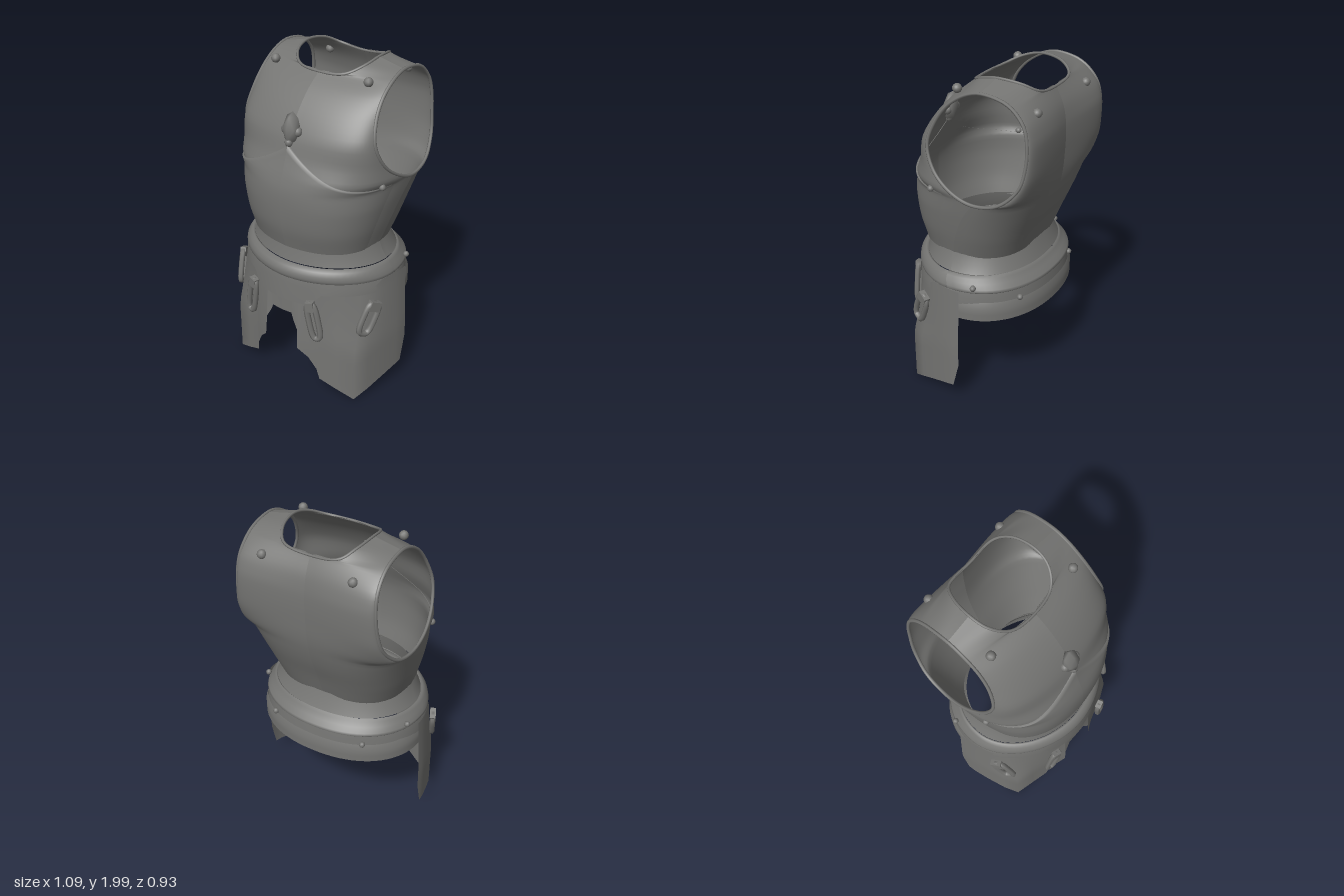
import * as THREE from 'three';

const steel = new THREE.MeshStandardMaterial({ color: 0x757573, side: THREE.DoubleSide });
steel.name = 'dark steel';
const V = (x, y, z) => new THREE.Vector3(x, y, z);
const lerp = THREE.MathUtils.lerp;

// Rows from waist to shoulder: inner point xyz, outer point xyz, roundness
const FRONT = [
  [0, .97, .375, .41, .97, .04, .88], [0, 1.1, .405, .445, 1.1, 0, .95],
  [0, 1.24, .415, .478, 1.25, -.07, 1], [0, 1.34, .41, .5, 1.365, -.15, 1],
  [0, 1.42, .39, .5, 1.41, -.01, 1], [0, 1.52, .355, .475, 1.5, .11, .85],
  [0, 1.63, .32, .445, 1.63, .165, .8], [0, 1.75, .25, .42, 1.76, .125, .6],
  [0, 1.85, .16, .41, 1.85, .06, .45], [0, 1.92, .065, .408, 1.9, 0, .3],
  [.15, 1.93, .04, .408, 1.93, -.05, .1], [.225, 1.97, -.04, .408, 1.95, -.1, 0],
  [.245, 1.995, -.15, .408, 1.96, -.15, 0]];
const BACK = [
  [0, .97, -.28, .41, .97, .04, .95], [0, 1.1, -.325, .445, 1.1, 0, 1],
  [0, 1.24, -.38, .478, 1.25, -.07, 1], [0, 1.36, -.415, .5, 1.365, -.15, 1],
  [0, 1.45, -.43, .485, 1.395, -.3, 1], [0, 1.55, -.437, .452, 1.5, -.405, 1],
  [0, 1.65, -.44, .432, 1.62, -.435, 1], [0, 1.74, -.435, .422, 1.74, -.437, 1],
  [0, 1.83, -.415, .415, 1.83, -.415, 1], [0, 1.92, -.37, .41, 1.895, -.365, .5],
  [.165, 1.94, -.36, .408, 1.935, -.305, .1], [.222, 1.98, -.285, .408, 1.955, -.23, 0],
  [.245, 1.995, -.15, .408, 1.96, -.15, 0]];
const LAST = 12, ARM = 3, NECK = 9;
const FRONT_POWER = 1.9, BACK_POWER = 2.2;
const inner = (r) => V(r[0], r[1], r[2]);
const outer = (r) => V(r[3], r[4], r[5]);

function mesh(name, geometry) {
  const m = new THREE.Mesh(geometry, steel);
  m.name = name;
  return m;
}

// Grid surface from a rule fn(u, v), with u and v in 0..1
function sheet(nu, nv, fn) {
  const pos = [], idx = [];
  for (let j = 0; j <= nv; j++)
    for (let i = 0; i <= nu; i++) pos.push(...fn(i / nu, j / nv).toArray());
  for (let j = 0; j < nv; j++)
    for (let i = 0; i < nu; i++) {
      const a = j * (nu + 1) + i, b = a + nu + 1;
      idx.push(a, a + 1, b + 1, a, b + 1, b);
    }
  const g = new THREE.BufferGeometry();
  g.setAttribute('position', new THREE.Float32BufferAttribute(pos, 3));
  g.setIndex(idx);
  g.computeVertexNormals();
  return g;
}

// Half a torso plate; v counts rows, groove sets the depth of the centre crease
function plate(rows, groove) {
  const I = new THREE.CatmullRomCurve3(rows.map(inner));
  const low = new THREE.CatmullRomCurve3(rows.slice(0, ARM + 1).map(outer));
  const high = new THREE.CatmullRomCurve3(rows.slice(ARM).map(outer));
  return (u, v) => {
    const a = I.getPoint(v / LAST);
    a.x = v <= NECK ? 0 : Math.max(0, a.x);
    const c = v <= ARM ? low.getPoint(v / ARM) : high.getPoint((v - ARM) / (LAST - ARM));
    const i = Math.min(Math.floor(v), LAST - 1);
    const k = lerp(rows[i][6], rows[i + 1][6], v - i);
    const m = a.clone().lerp(c, .5).lerp(V(c.x, (a.y + c.y) / 2, a.z), k);
    m.z -= groove * THREE.MathUtils.clamp((10 - v) / 3, 0, 1);
    return a.multiplyScalar((1 - u) ** 2).addScaledVector(m, 2 * u * (1 - u)).addScaledVector(c, u * u);
  };
}

// Closed hoop: rows of [y, half width, z front, z back]; hem(x, z) sets the last height
function hoop(rows, hem) {
  return sheet(72, rows.length - 1, (u, v) => {
    const [y, rx, zf, zb] = rows[Math.round(v * (rows.length - 1))];
    const a = u * Math.PI * 2, c = Math.cos(a), s = Math.sin(a), mid = (zf + zb) / 2;
    const p = 2 / (s > 0 ? FRONT_POWER : BACK_POWER);
    const x = rx * Math.sign(c) * Math.abs(c) ** p;
    const z = mid + (zf - mid) * Math.sign(s) * Math.abs(s) ** p;
    return V(x, hem && v === 1 ? hem(x, z) : y, z);
  });
}

function rim(name, pts, r) {
  return mesh(name, new THREE.TubeGeometry(new THREE.CatmullRomCurve3(pts, true), 72, r, 6, true));
}

// Hip plate columns from the centre outwards: x, z, bottom height
const HIP = [[0, .435, .55], [.07, .44, .555], [.088, .445, .51], [.115, .45, .46], [.12, .45, .33],
  [.18, .42, .27], [.225, .4, .19], [.24, .39, .115], [.34, .355, .06], [.445, .32, .01],
  [.485, .235, .055], [.518, .12, .1], [.54, .02, .13], [.545, -.03, .14], [.545, -.07, .3]];

// Hanging buckle loop with a strap end
function buckle(name, width, height) {
  const g = new THREE.Group(), pts = [];
  g.name = name;
  const round = (t) => Math.sign(t) * Math.abs(t) ** .6;
  for (let i = 0; i < 16; i++) {
    const a = i / 16 * Math.PI * 2;
    pts.push(V(width * round(Math.cos(a)), height * round(Math.sin(a)), 0));
  }
  g.add(rim('buckleLoop', pts, .018));
  const strap = mesh('strapEnd', new THREE.BoxGeometry(width * 1.7, .06, .036));
  strap.position.y = height - .015;
  g.add(strap);
  return g;
}

export function createModel() {
  const model = new THREE.Group();
  model.name = 'bodyArmour';
  const front = plate(FRONT, 0), back = plate(BACK, .055);

  for (const s of [1, -1]) {
    const flip = (p) => { p.x *= s; return p; };
    const side = s > 0 ? 'left' : 'right';

    // Breast and back plates
    model.add(mesh(side + 'BreastPlate', sheet(14, 48, (u, v) => flip(front(u, v * LAST)))));
    model.add(mesh(side + 'BackPlate', sheet(14, 48, (u, v) => flip(back(u, v * LAST)))));

    // Raised lower breast plate rising to a point at the centre, fading to the sides
    model.add(mesh(side + 'LowerBreastPlate', sheet(20, 20, (u, v) => {
      const w = u * .85, t = Math.min(v / .95, 1);
      const p = front(w, t * (3.25 + 2.3 * (1 - w) ** 2.4));
      const lift = v === 1 ? -.003 : .014 * (1 - u ** 4) - .002;
      return flip(p.addScaledVector(V(p.x * .7, 0, p.z).normalize(), lift));
    })));

    // Rolled armhole edge
    const arm = [...FRONT.slice(ARM).map(outer), ...BACK.slice(ARM + 1, LAST).reverse().map(outer)];
    model.add(rim(side + 'ArmholeRim', arm.map(flip), .01));

    // Hip plate: rounded like the skirt at the top, creased at the corner below
    model.add(mesh(side + 'HipPlate', sheet(HIP.length - 1, 12, (u, v) => {
      const [x, z, y] = HIP[Math.round(u * (HIP.length - 1))];
      const top = z < .15 ? .8 : .75, h = lerp(top, y, v), t = Math.min(1, (top - h) / .4);
      const px = x * lerp(.963, 1, t);
      const round = .015 + .415 * Math.max(0, 1 - (px / .515) ** FRONT_POWER) ** (1 / FRONT_POWER);
      return flip(V(px, h, z < .15 ? z : lerp(round, z, t)));
    })));

    // Buckles
    const b1 = buckle(side + 'FrontBuckle', .029, .118);
    b1.position.set(s * .23, .56, .43);
    b1.rotation.set(0, s * .25, s * .19);
    const b2 = buckle(side + 'SideBuckle', .042, .1);
    b2.position.set(s * .48, .575, .232);
    b2.rotation.set(0, s * 1.15, -s * .42);
    model.add(b1, b2);

    // Rivets on shoulders, sides and skirt
    for (const [x, y, z, r] of [[.315, 1.925, .05, .027], [.275, 1.865, -.41, .027], [.475, 1.385, .13, .02],
      [.485, .83, -.14, .018], [.3, .74, -.34, .018]]) {
      const rivet = mesh(side + 'Rivet', new THREE.IcosahedronGeometry(r, 1));
      rivet.position.set(s * x, y, z);
      model.add(rivet);
    }
  }

  // Rolled neck edge
  const half = [...FRONT.slice(NECK).map(inner), ...BACK.slice(NECK, LAST).reverse().map(inner)];
  const other = half.slice(1, -1).reverse().map((p) => V(-p.x, p.y, p.z));
  model.add(rim('neckRim', [...half, ...other], .008));

  // Waist flange, folded lip and skirt bands
  model.add(mesh('waistFlange', hoop([[.985, .412, .372, -.292], [.93, .428, .38, -.312],
    [.88, .455, .39, -.335]])));
  model.add(mesh('waistLip', hoop([[.875, .455, .39, -.335], [.883, .466, .402, -.338], [.865, .48, .425, -.35],
    [.84, .495, .44, -.37], [.815, .508, .44, -.397], [.8, .51, .436, -.403], [.79, .503, .428, -.392]])));
  model.add(mesh('skirtBand', hoop([[.805, .503, .43, -.387], [.76, .512, .436, -.393], [.7, .515, .44, -.4]],
    (x, z) => {
      const ax = Math.abs(x);
      if (z < 0) return .69;
      return ax < .17 ? .64 : ax < .24 ? lerp(.64, .7, (ax - .17) / .07) : .72;
    })));
  model.add(mesh('rearSkirtBand', sheet(40, 3, (u, v) => {
    const a = Math.PI * (1 + u), c = Math.cos(a), p = 2 / BACK_POWER, k = v === 0 ? .97 : 1;
    return V(.517 * k * Math.sign(c) * Math.abs(c) ** p, lerp(.735, .62, v),
      -.01 - .403 * k * Math.abs(Math.sin(a)) ** p);
  })));

  // Chest ornament: leaf, two lobes and a stud
  const ornament = new THREE.Group();
  ornament.name = 'chestOrnament';
  for (const [name, x, y, z, sx, sy, sz] of [['leaf', 0, .01, 0, .054, .095, .045],
    ['leftLobe', .042, 0, -.005, .025, .028, .025], ['rightLobe', -.042, 0, -.005, .025, .028, .025],
    ['stud', 0, -.065, .008, .024, .028, .028]]) {
    const part = mesh(name, name === 'leaf' ? new THREE.OctahedronGeometry(1, 1) : new THREE.SphereGeometry(1, 10, 8));
    part.position.set(x, y, z);
    part.scale.set(sx, sy, sz);
    ornament.add(part);
  }
  ornament.position.set(0, 1.66, .312);
  ornament.rotation.x = -.17;
  model.add(ornament);
  return model;
}
